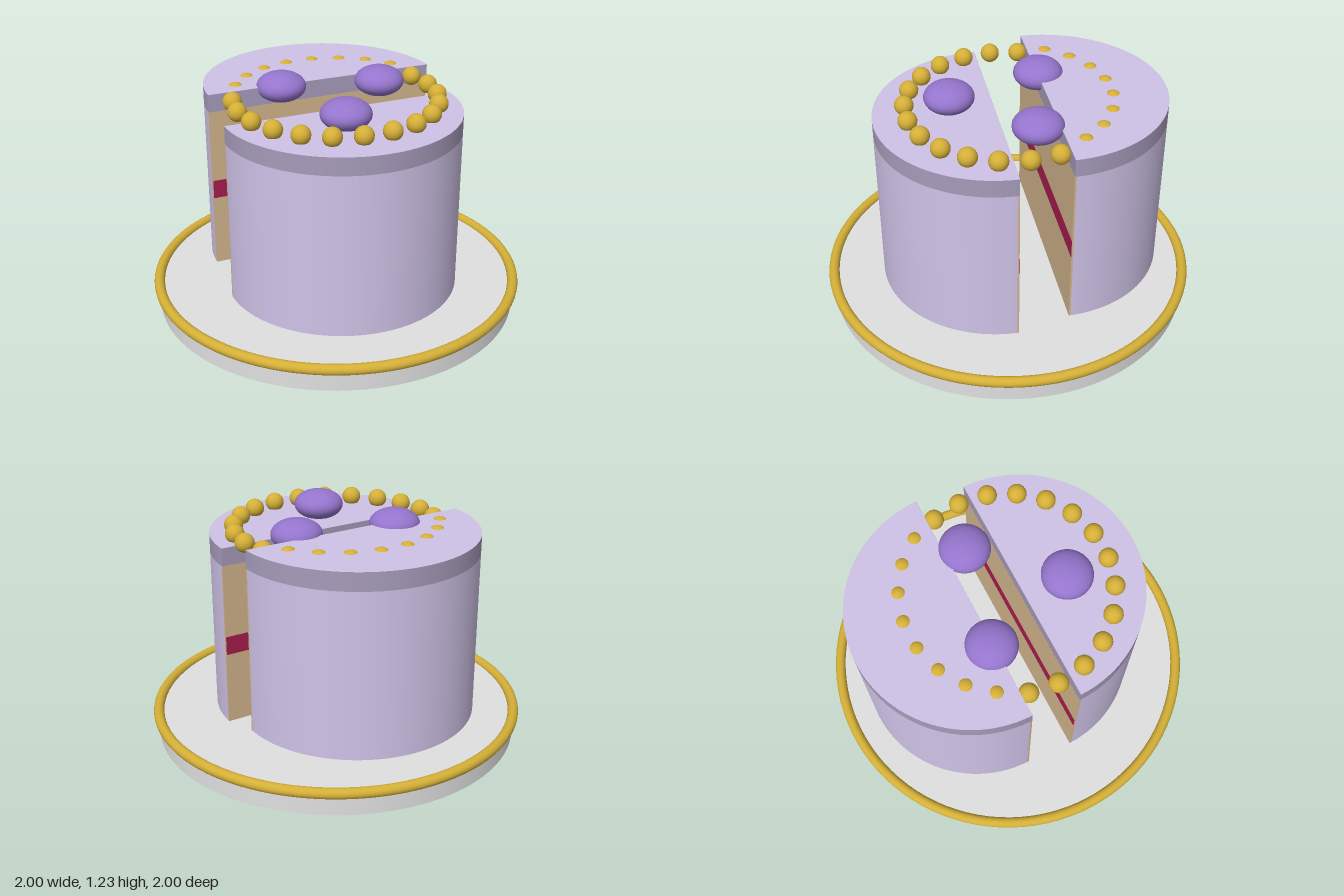
import * as THREE from 'three';

const mat = (name, color) => Object.assign(new THREE.MeshStandardMaterial({ color }), { name });

export function createModel() {
  const icing = mat('lavender icing', 0xd1c4e9);
  const icingEdge = mat('shaded lavender icing', 0xa69bba);
  const sponge = mat('tan sponge', 0xd2b48c);
  const jam = mat('red jam', 0xa51c4c);
  const gold = mat('gold', 0xd4af37);
  const china = mat('pale grey china', 0xe0e0e0);
  const berryPurple = mat('berry purple', 0x9575cd);

  const model = new THREE.Group();
  model.name = 'cutCake';
  const add = (parent, name, geometry, material, x = 0, y = 0, z = 0) => {
    const mesh = new THREE.Mesh(geometry, material);
    mesh.name = name;
    mesh.position.set(x, y, z);
    parent.add(mesh);
    return mesh;
  };

  // Plate with a gold rim
  add(model, 'plate', new THREE.CylinderGeometry(0.97, 0.97, 0.122, 96), china, 0, 0.061, 0);
  const rim = new THREE.TorusGeometry(0.97, 0.028, 16, 96).rotateX(Math.PI / 2);
  add(model, 'plateRim', rim, gold, 0, 0.122, 0);

  // Half cake: curved side toward +z, cut face toward -z at z = 0
  const R = 0.625, BODY = 0.875, CAP = 0.095;
  const halfCylinder = (height) =>
    new THREE.CylinderGeometry(R, R, height, 48, 1, false, -Math.PI / 2, Math.PI);
  const buildHalf = (name) => {
    const half = new THREE.Group();
    half.name = name;
    add(half, 'sideIcing', halfCylinder(BODY), icing, 0, BODY / 2, 0);
    add(half, 'topIcing', halfCylinder(CAP), [icingEdge, icing, icingEdge], 0, BODY + CAP / 2, 0);
    add(half, 'topIcingCut', new THREE.BoxGeometry(2 * R, CAP, 0.004), icingEdge,
      0, BODY + CAP / 2 - 0.001, 0.001);
    add(half, 'spongeCut', new THREE.BoxGeometry(2 * R, BODY, 0.009), sponge, 0, BODY / 2, 0.003);
    add(half, 'jamLayer', new THREE.BoxGeometry(2 * R - 0.006, 0.1, 0.006), jam, 0, BODY / 2, 0);
    model.add(half);
    return half;
  };
  buildHalf('frontHalf').position.set(0, 0.123, 0.068);
  const back = buildHalf('backHalf');
  back.position.set(0, 0.195, -0.196);
  back.rotation.y = Math.PI;

  // Ring of gold pearls
  const pearl = new THREE.SphereGeometry(0.05, 20, 14);
  for (let i = 0; i < 22; i++) {
    const a = (i / 22) * Math.PI * 2;
    add(model, 'pearl', pearl, gold, 0.532 * Math.cos(a), 1.128, -0.004 + 0.532 * Math.sin(a));
  }

  // Flattened berries
  const berry = new THREE.SphereGeometry(0.131, 32, 20).scale(1, 0.6, 1);
  for (const [x, z] of [[-0.225, -0.205], [0.287, -0.093], [-0.07, 0.292]]) {
    add(model, 'berry', berry, berryPurple, x, 1.155, z);
  }
  return model;
}
